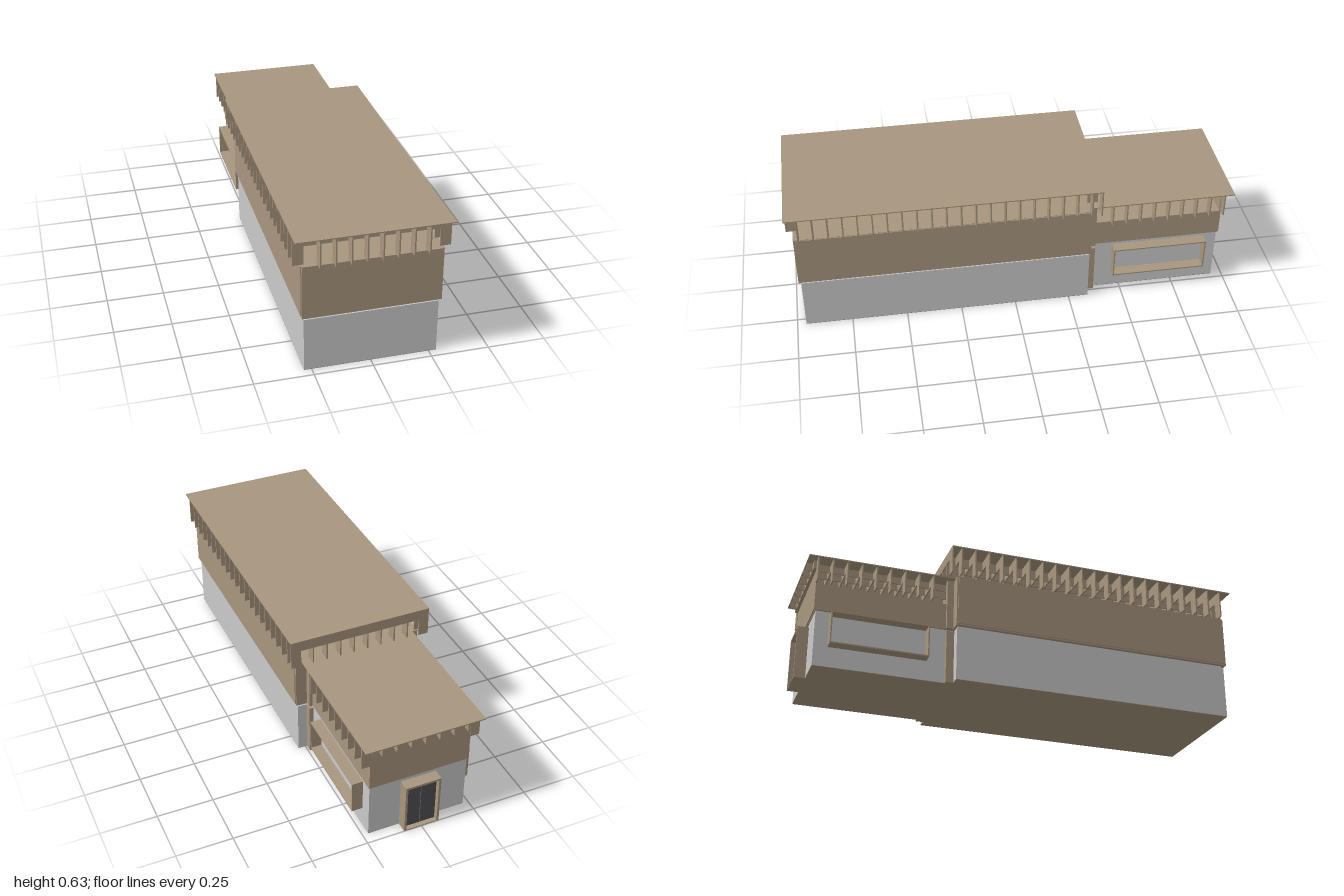
import * as THREE from 'three';

export function createModel() {
  const root = new THREE.Group();
  const mat = (name, color) => {
    const m = new THREE.MeshStandardMaterial({ color });
    m.name = name;
    return m;
  };
  const tan = mat('tan cladding', 0xa8967f);
  const grey = mat('grey wall', 0xcacaca);
  const dark = mat('dark door', 0x505056);

  // Box given by its limits on each axis
  function box(name, m, x0, x1, y0, y1, z0, z1, parent = root) {
    const mesh = new THREE.Mesh(new THREE.BoxGeometry(x1 - x0, y1 - y0, z1 - z0), m);
    mesh.position.set((x0 + x1) / 2, (y0 + y1) / 2, (z0 + z1) / 2);
    mesh.name = name;
    parent.add(mesh);
    return mesh;
  }

  // Thin upside-down U plate: a beam from a0 to a1 with a leg at each end
  const T = 0.006;
  function frameGeometry(a0, a1, yLow, yBeam, yTop, leg) {
    const pts = [[a0, yLow], [a0 + leg, yLow], [a0 + leg, yBeam], [a1 - leg, yBeam],
      [a1 - leg, yLow], [a1, yLow], [a1, yTop], [a0, yTop]];
    const shape = new THREE.Shape(pts.map(p => new THREE.Vector2(...p)));
    return new THREE.ExtrudeGeometry(shape, { depth: T, bevelEnabled: false }).translate(0, 0, -T / 2);
  }
  function frames(name, geo, count, start, step, lengthwise) {
    const g = new THREE.Group();
    g.name = name;
    for (let i = 0; i < count; i++) {
      const mesh = new THREE.Mesh(geo, tan);
      const p = start + i * step;
      if (lengthwise) {
        mesh.rotation.y = -Math.PI / 2;
        mesh.position.x = p;
      } else mesh.position.z = p;
      mesh.name = 'roofFin';
      g.add(mesh);
    }
    root.add(g);
  }

  // Main hall: floor, grey base, recessed joint, cladding
  box('mainFloor', tan, -0.283, 0.283, 0, 0.002, -0.34, 0.96);
  box('mainBase', grey, -0.283, 0.283, 0.002, 0.243, -0.34, 0.96);
  box('mainJoint', grey, -0.277, 0.277, 0.243, 0.256, -0.335, 0.954);
  box('mainCladding', tan, -0.292, 0.292, 0.255, 0.495, -0.345, 0.97);
  for (const s of [-1, 1]) {
    const x = 0.2935 * s;
    box('sideCladding', tan, x - 0.0025, x + 0.0025, 0.262, 0.493, -0.338, 0.96);
  }

  // Main roof and its fins in both directions
  box('mainRoof', tan, -0.327, 0.327, 0.621, 0.626, -0.38, 1);
  frames('crossFins', frameGeometry(-0.326, 0.326, 0.495, 0.577, 0.622, 0.046), 20, -0.334, 0.064, false);
  frames('lengthFins', frameGeometry(-0.379, 0.999, 0.495, 0.577, 0.622, 0.048), 8, -0.225, 0.064, true);
  for (const z of [-0.377, 0.946])
    frames('endFin', frameGeometry(-0.326, 0.326, 0.495, 0.577, 0.622, 0.046), 1, z, 0, false);

  // Rear wing: floor, base, cladding
  box('rearFloor', tan, -0.224, 0.224, 0, 0.002, -0.95, -0.34);
  box('rearBase', grey, -0.224, 0.224, 0.002, 0.255, -0.95, -0.34);
  box('rearCladding', tan, -0.228, 0.228, 0.257, 0.38, -0.953, -0.34);
  box('rearEndPanel', tan, -0.228, 0.228, 0.262, 0.457, -0.958, -0.95);
  box('rearEndBeam', tan, -0.226, 0.226, 0.455, 0.494, -0.972, -0.955);

  // Rear roof and fins
  box('rearRoof', tan, -0.268, 0.268, 0.492, 0.497, -1, -0.34);
  frames('rearCrossFins', frameGeometry(-0.267, 0.267, 0.385, 0.455, 0.493, 0.042), 9, -0.957, 0.064, false);
  frames('rearLengthFins', frameGeometry(-0.999, -0.34, 0.455, 0.46, 0.493, 0.04), 7, -0.192, 0.064, true);

  for (const s of [-1, 1]) {
    // Posts where the two volumes meet
    box('cornerPost', tan, 0.23 * s - 0.012, 0.23 * s + 0.012, 0, 0.243, -0.375, -0.338);
    box('upperPost', tan, 0.23 * s - 0.012, 0.23 * s + 0.012, 0.257, 0.495, -0.375, -0.338);

    // Deep window surrounds standing out from the side walls
    const w = new THREE.Group();
    w.name = 'windowSurround';
    const x0 = s > 0 ? 0.22 : -0.273;
    const x1 = x0 + 0.053;
    box('windowSill', tan, x0, x1, 0.093, 0.099, -0.89, -0.458, w);
    box('windowHead', tan, x0, x1, 0.236, 0.242, -0.89, -0.458, w);
    for (const z of [-0.89, -0.464])
      box('windowJamb', tan, x0, x1, 0.099, 0.236, z, z + 0.006, w);
    root.add(w);
  }

  // Rear entrance: projecting surround and a pair of doors
  for (const s of [-1, 1]) {
    box('doorJamb', tan, 0.076 * s - 0.005, 0.076 * s + 0.005, 0, 0.24, -1, -0.945);
    box('doorLeaf', dark, 0.036 * s - 0.0345, 0.036 * s + 0.0345, 0.004, 0.23, -0.979, -0.95);
  }
  box('doorHead', tan, -0.081, 0.081, 0.23, 0.24, -1, -0.945);
  box('doorStep', tan, -0.071, 0.071, 0, 0.004, -1, -0.945);
  box('doorGap', tan, -0.0015, 0.0015, 0.004, 0.23, -0.977, -0.95);

  return root;
}
